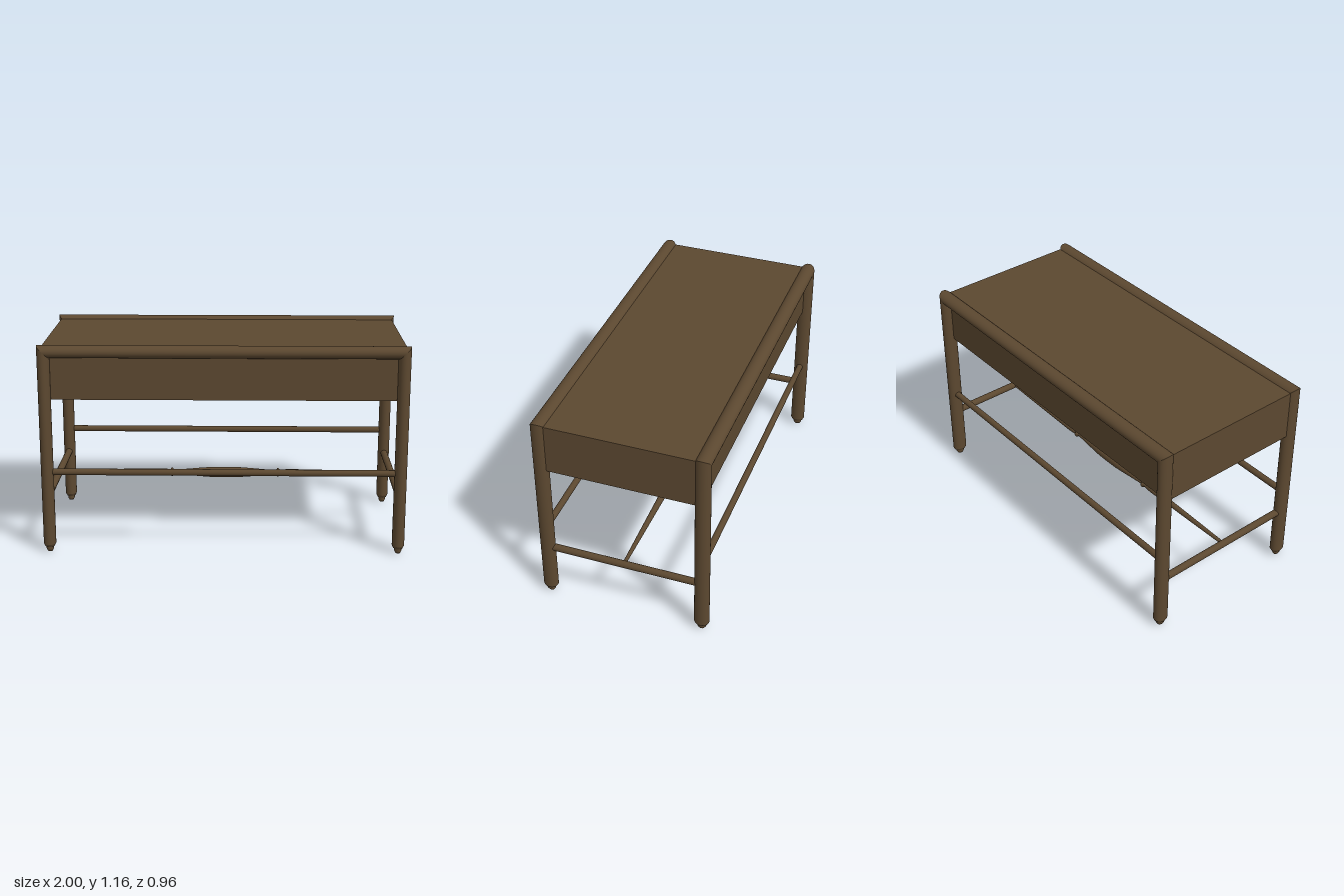
import * as THREE from 'three';
import { mergeGeometries } from 'three/addons/utils/BufferGeometryUtils.js';

const POST_X = 0.965, POST_Z = 0.44, RAIL_Y = 1.131, SIDES = 24;
const RX = 0.034, RZ = 0.042;

// Foot and leg stations from the floor up: [height, scale of section]
const LEG = [[0, 0], [0, 0.4], [0.012, 0.58], [0.03, 0.62], [0.03, 0.78], [0.046, 1]];

// Smooth band between two oval rings; separate bands keep creases and mitres sharp
function band(a, b) {
  const pos = [], index = [];
  for (const s of [a, b]) {
    for (let i = 0; i < SIDES; i++) {
      const t = (i / SIDES) * Math.PI * 2, c = Math.cos(t) * RX * s.scale;
      pos.push(s.x + s.ox * c, s.y + s.oy * c, Math.sin(t) * RZ * s.scale);
    }
  }
  for (let i = 0; i < SIDES; i++) {
    const j = (i + 1) % SIDES;
    index.push(i, j, SIDES + i, j, SIDES + j, SIDES + i);
  }
  const g = new THREE.BufferGeometry();
  g.setAttribute('position', new THREE.Float32BufferAttribute(pos, 3));
  g.setIndex(index);
  g.computeVertexNormals();
  return g;
}

// Two legs and their top rail as one mitred arch
function archGeometry() {
  const leg = (side) => LEG.map(([y, scale]) => ({ x: side * POST_X, y, ox: side, oy: 0, scale }));
  const corner = (side) => ({ x: side * POST_X, y: RAIL_Y, ox: side, oy: 1, scale: 1 });
  const path = [...leg(-1), corner(-1), corner(1), ...leg(1).reverse()];
  return mergeGeometries(path.slice(1).map((s, i) => band(path[i], s)));
}

export function createModel() {
  const model = new THREE.Group();
  model.name = 'table';
  const wood = new THREE.MeshStandardMaterial({ color: 0x5c4830 });
  wood.name = 'dark wood';
  const board = new THREE.MeshStandardMaterial({ color: 0x5c4830, side: THREE.DoubleSide });
  board.name = 'dark wood board';

  const add = (name, geometry, material, x = 0, y = 0, z = 0) => {
    const mesh = new THREE.Mesh(geometry, material);
    mesh.name = name;
    mesh.position.set(x, y, z);
    model.add(mesh);
    return mesh;
  };

  // Front and back frames, each with a long stretcher
  const arch = archGeometry();
  const longRod = new THREE.CylinderGeometry(0.018, 0.018, 2 * POST_X, 16).rotateZ(Math.PI / 2);
  for (const [name, s] of [['front', 1], ['back', -1]]) {
    add(name + 'LegsAndRail', arch, wood, 0, 0, s * POST_Z);
    add(name + 'Stretcher', longRod, wood, 0, 0.459, s * POST_Z);
  }

  // Table top and aprons, open underneath
  const top = 1.147, bottom = 0.865, hx = 0.983, hz = 0.435;
  const h = top - bottom, midY = (top + bottom) / 2;
  add('tableTop', new THREE.PlaneGeometry(2 * hx, 2 * hz).rotateX(-Math.PI / 2), board, 0, top, 0);
  for (const [name, s] of [['front', 1], ['back', -1]]) {
    const apron = new THREE.PlaneGeometry(2 * hx, h).rotateY(s > 0 ? 0 : Math.PI);
    add(name + 'Apron', apron, board, 0, midY, s * hz);
  }

  // Side aprons and side stretchers
  const sideRod = new THREE.CylinderGeometry(0.02, 0.02, 2 * POST_Z, 16).rotateX(Math.PI / 2);
  for (const [name, s] of [['left', 1], ['right', -1]]) {
    const apron = new THREE.PlaneGeometry(2 * hz, h).rotateY(s * Math.PI / 2);
    add(name + 'Apron', apron, board, s * hx, midY, 0);
    add(name + 'Stretcher', sideRod, wood, s * POST_X, 0.32, 0);
  }

  // Turned centre stretcher: half profile mirrored about the middle
  const half = [[0.03, 0], [0.029, 0.08], [0.024, 0.15], [0.018, 0.22], [0.013, 0.285],
    [0.014, 0.298], [0.024, 0.304], [0.024, 0.312], [0.014, 0.318], [0.017, 0.335],
    [0.019, 0.38], [0.017, 0.5], [0.014, 0.7], [0.01, 0.93], [0.01, POST_X]];
  const profile = [...half.slice(1).reverse().map(([r, t]) => [r, -t]), ...half]
    .map(([r, t]) => new THREE.Vector2(r, t));
  add('turnedStretcher', new THREE.LatheGeometry(profile, 20).rotateZ(Math.PI / 2), wood, 0, 0.322, 0);

  return model;
}
